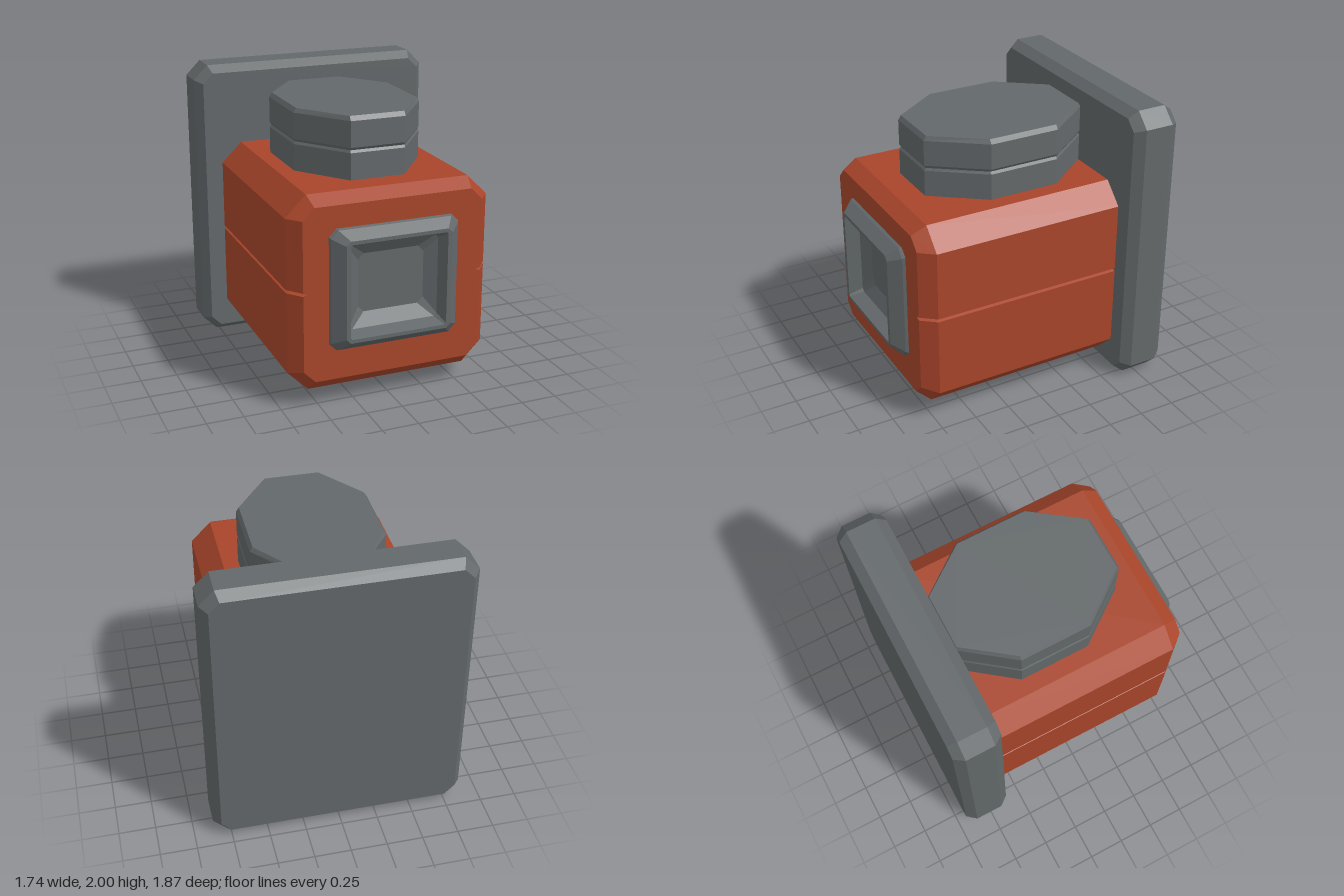
import * as THREE from 'three';

const grey = new THREE.MeshStandardMaterial({ color: 0x63686a });
grey.name = 'slate grey';
const rust = new THREE.MeshStandardMaterial({ color: 0xa8452a });
rust.name = 'rust orange';

// Rectangle with cut corners, counter-clockwise; an optional V notch runs along both sides
function section(hw, y0, y1, cut, notch = 0, notchY = 0.815) {
  const half = [[hw - cut, y0], [hw, y0 + cut]];
  if (notch) half.push([hw, notchY - 0.011], [hw - notch, notchY], [hw, notchY + 0.011]);
  half.push([hw, y1 - cut], [hw - cut, y1]);
  return [...half, ...half.slice().reverse().map(([x, y]) => [-x, y])];
}

// Faceted skin through cross-sections [points, z], with optional flat ends
function loft(rings, startCap = true, endCap = true) {
  const pos = [];
  const add = (ring, i) => pos.push(...ring[0][i % ring[0].length], ring[1]);
  for (let r = 0; r < rings.length - 1; r++) {
    const a = rings[r], b = rings[r + 1];
    for (let i = 0; i < a[0].length; i++) {
      add(a, i); add(a, i + 1); add(b, i + 1);
      add(a, i); add(b, i + 1); add(b, i);
    }
  }
  const cap = (ring, flip) => {
    const outline = ring[0].map(([x, y]) => new THREE.Vector2(x, y));
    for (const [a, b, c] of THREE.ShapeUtils.triangulateShape(outline, [])) {
      for (const i of flip ? [a, c, b] : [a, b, c]) add(ring, i);
    }
  };
  if (startCap) cap(rings[0], true);
  if (endCap) cap(rings[rings.length - 1], false);
  const geo = new THREE.BufferGeometry();
  geo.setAttribute('position', new THREE.Float32BufferAttribute(pos, 3));
  geo.computeVertexNormals();
  return geo;
}

export function createModel() {
  const model = new THREE.Group();
  const part = (name, geo, mat) => {
    const mesh = new THREE.Mesh(geo, mat);
    mesh.name = name;
    model.add(mesh);
    return mesh;
  };

  // Wall plate with bevelled rims
  part('backPlate', loft([
    [section(0.82, 0.05, 1.95, 0.07), -0.935],
    [section(0.87, 0, 2, 0.1), -0.87],
    [section(0.87, 0, 2, 0.1), -0.67],
    [section(0.82, 0.05, 1.95, 0.07), -0.605],
  ]), grey);

  // Housing with a seam groove along each side
  const faceOutline = section(0.62, 0.2, 1.38, 0.08, 0.03);
  part('body', loft([
    [section(0.7, 0.11, 1.44, 0.14, 0.03), -0.62],
    [section(0.7, 0.11, 1.44, 0.14, 0.03), 0.74],
    [faceOutline, 0.84],
  ], true, false), rust);

  // Front of the housing, open behind the socket
  const toVectors = (pts) => pts.map(([x, y]) => new THREE.Vector2(x, y));
  const face = new THREE.Shape(toVectors(faceOutline));
  face.holes.push(new THREE.Path(toVectors(section(0.43, 0.42, 1.2, 0.04))));
  part('bodyFace', new THREE.ShapeGeometry(face), rust).position.z = 0.84;

  // Raised frame that falls away into a dished recess
  part('socket', loft([
    [section(0.45, 0.4, 1.23, 0.05), 0.835],
    [section(0.44, 0.41, 1.22, 0.05), 0.86],
    [section(0.365, 0.475, 1.165, 0.03), 0.935],
    [section(0.335, 0.5, 1.14, 0.01), 0.935],
    [section(0.31, 0.53, 1.1, 0.02), 0.84],
    [section(0.23, 0.62, 1.02, 0.04), 0.79],
  ], false, true), grey);

  // Eight-sided knob with a faint waist line, lofted upwards
  const octagon = (inset) => {
    const x = 0.45 - inset, front = -0.57 + inset, back = 0.61 - inset;
    return [[0.19, front], [x, -0.22], [x, 0.27], [0.19, back],
      [-0.19, back], [-x, 0.27], [-x, -0.22], [-0.19, front]];
  };
  const knob = loft([
    [octagon(0), 1.42], [octagon(0), 1.62], [octagon(0.012), 1.637],
    [octagon(0), 1.655], [octagon(0), 1.83], [octagon(0.02), 1.86],
  ]);
  knob.rotateX(-Math.PI / 2);
  part('topKnob', knob, grey);

  return model;
}
